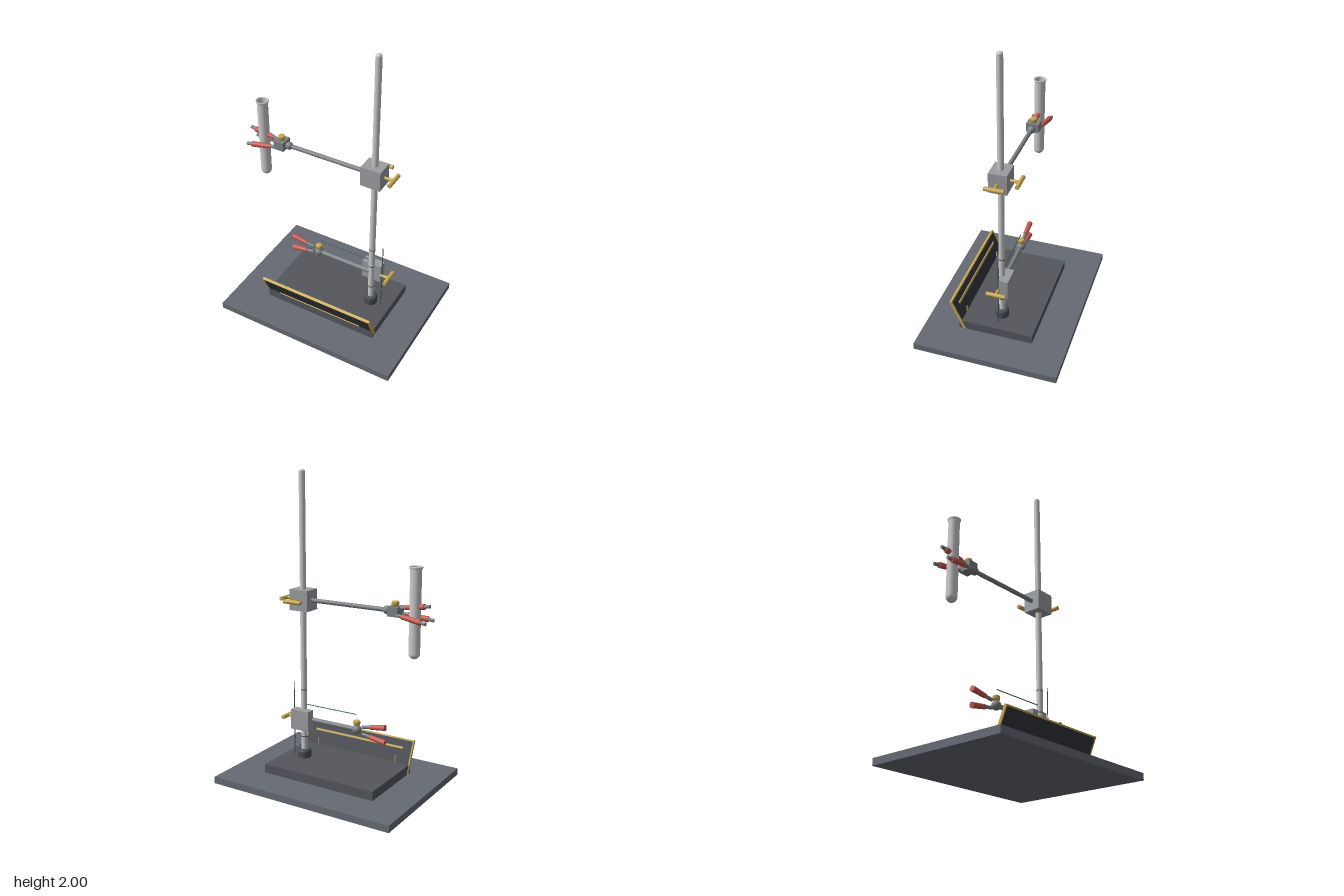
import * as THREE from 'three';

const mat = (color, side = THREE.FrontSide) => new THREE.MeshStandardMaterial({ color, side });

export function createModel() {
  const root = new THREE.Group();
  const base = mat(0x666a73), plinthMat = mat(0x54565c), dark = mat(0x33363e), iron = mat(0x4a4c50);
  const steel = mat(0x7d8185), block = mat(0x9a9da1), rodMat = mat(0xcccccc);
  const brass = mat(0xc8a850), red = mat(0xc85a50), wire = mat(0x355c5c);
  const glass = mat(0xcccccc, THREE.DoubleSide);

  const add = (parent, name, geometry, material, x = 0, y = 0, z = 0) => {
    const m = new THREE.Mesh(geometry, material);
    m.name = name;
    m.position.set(x, y, z);
    parent.add(m);
    return m;
  };
  const box = (parent, name, material, w, h, d, x, y, z) =>
    add(parent, name, new THREE.BoxGeometry(w, h, d), material, x, y, z);
  // Round bar between two points, with optional taper
  const bar = (parent, name, material, from, to, r0, r1 = r0, sides = 20) => {
    const a = new THREE.Vector3(...from), b = new THREE.Vector3(...to);
    const m = add(parent, name, new THREE.CylinderGeometry(r1, r0, a.distanceTo(b), sides), material);
    m.position.copy(a).add(b).multiplyScalar(0.5);
    m.quaternion.setFromUnitVectors(new THREE.Vector3(0, 1, 0), b.sub(a).normalize());
    return m;
  };
  const lathe = (parent, name, material, pts, x, y, z) =>
    add(parent, name, new THREE.LatheGeometry(pts.map(p => new THREE.Vector2(...p)), 32), material, x, y, z);
  const group = (name) => {
    const g = new THREE.Group();
    g.name = name;
    root.add(g);
    return g;
  };

  // Base plate and plinth
  box(root, 'basePlate', base, 1.285, 0.045, 0.96, 0, 0.0225, 0);
  box(root, 'plinth', plinthMat, 0.81, 0.06, 0.5, 0, 0.075, 0);

  // Tilted front panel with brass trim
  const panel = group('frontPanel');
  panel.position.set(0, 0.148, 0.26);
  panel.rotation.x = 0.42;
  box(panel, 'panelBoard', dark, 0.805, 0.22, 0.014, 0, 0, 0);
  box(panel, 'topTrim', brass, 0.815, 0.01, 0.018, 0, 0.108, 0);
  for (const s of [-1, 1]) box(panel, 'sideTrim', brass, 0.008, 0.225, 0.018, s * 0.404, 0, 0);
  box(panel, 'backStrip', brass, 0.68, 0.014, 0.008, 0, 0.05, -0.01);
  box(panel, 'frontStrip', brass, 0.62, 0.008, 0.006, 0, -0.036, 0.009);
  for (const s of [-1, 1])
    bar(root, 'panelPin', brass, [s * 0.302, 0.1, 0.234], [s * 0.302, 0.145, 0.234], 0.005);

  // Upright rod with domed tip, foot collar and marking rings
  const RX = 0.26;
  lathe(root, 'uprightRod', rodMat,
    [[0.02, 0.105], [0.02, 1.985], [0.017, 1.993], [0.01, 1.998], [0, 2]], RX, 0, 0);
  lathe(root, 'footCollar', iron,
    [[0.045, 0.1], [0.046, 0.145], [0.043, 0.156], [0.036, 0.161], [0.02, 0.161]], RX, 0, 0);
  for (const y of [0.25, 0.43, 0.575])
    bar(root, 'rodRing', iron, [RX, y - 0.003, 0], [RX, y + 0.003, 0], 0.0212);

  // Tapered screw with a cross handle, pointing out along +x
  const screw = (parent, x, y, z, turn) => {
    const g = new THREE.Group();
    g.name = 'clampScrew';
    g.position.set(x, y, z);
    g.rotation.y = turn;
    bar(g, 'screwShaft', brass, [0, 0, 0], [0.062, 0, 0], 0.009, 0.012);
    bar(g, 'screwHandle', brass, [0.062, 0, -0.063], [0.062, 0, 0.063], 0.0135);
    parent.add(g);
  };
  // Gripping finger: steel pin with a red sleeve over part of it
  const finger = (parent, from, to, t0, t1) => {
    const a = new THREE.Vector3(...from), b = new THREE.Vector3(...to);
    const at = t => a.clone().lerp(b, t).toArray();
    bar(parent, 'fingerPin', steel, from, to, 0.011);
    bar(parent, 'fingerSleeve', red, at(t0), at(t1), 0.015, 0.0185);
  };
  const knob = (parent, x, y, h) => lathe(parent, 'topKnob', brass,
    [[0.01, -0.01], [0.01, 0], [0.022, 0.001], [0.023, h - 0.006], [0.019, h], [0, h + 0.001]], x, y, 0);
  const ball = (parent, x, y, r) => add(parent, 'armBall', new THREE.SphereGeometry(r, 24, 16), steel, x, y, 0);

  // Upper clamp
  const upper = group('upperClamp'), UY = 1.18;
  box(upper, 'clampBlock', block, 0.135, 0.135, 0.118, 0.258, UY, 0);
  screw(upper, 0.326, UY, 0, 0);
  screw(upper, RX, UY, -0.058, Math.PI / 2);
  bar(upper, 'clampArm', steel, [0.2, UY, 0], [-0.37, UY, 0], 0.014);
  ball(upper, -0.352, UY, 0.026);
  box(upper, 'jawBlock', steel, 0.07, 0.06, 0.085, -0.408, UY, 0);
  knob(upper, -0.408, 1.21, 0.03);
  finger(upper, [-0.43, 1.2, 0], [-0.637, 1.231, 0], 0.2, 0.83);
  for (const s of [-1, 1])
    finger(upper, [-0.43, 1.163, s * 0.034], [-0.637, 1.136, s * 0.057], 0.2, 0.83);

  // Lower clamp
  const lower = group('lowerClamp'), LY = 0.375;
  box(lower, 'clampBlock', block, 0.135, 0.135, 0.06, 0.258, LY, -0.03);
  screw(lower, 0.326, LY, 0, 0);
  bar(lower, 'clampArm', steel, [0.24, LY, 0], [-0.14, LY, 0], 0.015);
  ball(lower, -0.145, LY, 0.03);
  knob(lower, -0.145, 0.407, 0.028);
  for (const s of [-1, 1])
    finger(lower, [-0.185, LY + s * 0.024, 0], [-0.345, LY + s * 0.049, 0], 0.36, 1.04);

  // Hollow test tube with round bottom and flared lip
  const tube = [];
  for (let i = 0; i <= 8; i++) {
    const a = (i / 8) * Math.PI / 2;
    tube.push([0.035 * Math.sin(a), 0.935 - 0.035 * Math.cos(a)]);
  }
  tube.push([0.035, 1.44], [0.041, 1.452], [0.041, 1.458], [0.037, 1.461], [0.031, 1.452], [0.031, 0.935]);
  for (let i = 1; i <= 6; i++) {
    const a = (i / 6) * Math.PI / 2;
    tube.push([0.031 * Math.cos(a), 0.935 - 0.031 * Math.sin(a)]);
  }
  lathe(root, 'testTube', glass, tube, -0.54, 0, 0);

  // Thin gauge wires
  bar(root, 'horizontalWire', wire, [-0.14, 0.475, 0], [0.25, 0.475, 0], 0.003, 0.003, 8);
  bar(root, 'verticalWire', wire, [0.338, 0.105, 0], [0.338, 0.615, 0], 0.003, 0.003, 8);

  return root;
}
